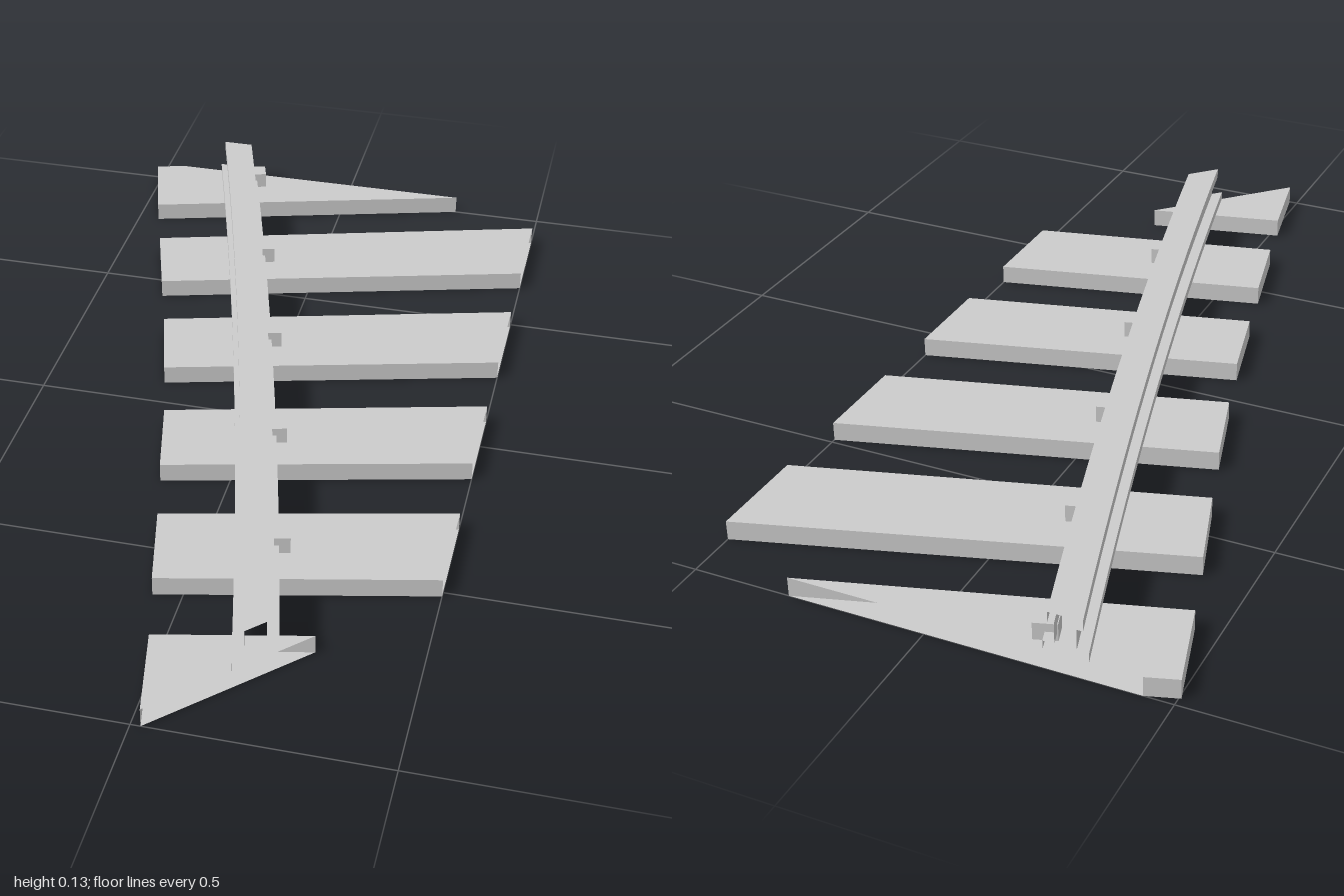
import * as THREE from 'three';

const material = new THREE.MeshStandardMaterial({
  color: 0xcccccc, flatShading: true, side: THREE.DoubleSide,
});

// gently curving centre line of the rail
const centreX = (z) => -0.006 + 0.262 * z - 0.022 * z * z;
const slope = (z) => 0.262 - 0.044 * z;

function meshFrom(positions, name) {
  const geometry = new THREE.BufferGeometry();
  geometry.setAttribute('position', new THREE.Float32BufferAttribute(positions.flat(), 3));
  geometry.computeVertexNormals();
  const mesh = new THREE.Mesh(geometry, material);
  mesh.name = name;
  return mesh;
}

// plank from a ground outline [x, z]; the sawn edge (index "open") has no wall
function sleeper(outline, open, name) {
  const h = 0.042, n = outline.length, tris = [];
  const at = (i, y) => [outline[i % n][0], y, outline[i % n][1]];
  for (let i = 1; i < n - 1; i++) {
    tris.push(at(0, h), at(i + 1, h), at(i, h));
    tris.push(at(0, 0), at(i, 0), at(i + 1, 0));
  }
  for (let i = 0; i < n; i++) {
    if (i === open) continue;
    tris.push(at(i, 0), at(i, h), at(i + 1, h), at(i, 0), at(i + 1, h), at(i + 1, 0));
  }
  return meshFrom(tris, name);
}

// I-section swept along the centre line, cut square at the back and diagonally in front
function rail() {
  const half = [[-0.046, 0.042], [-0.046, 0.061], [-0.022, 0.061],
    [-0.022, 0.106], [-0.035, 0.106], [-0.035, 0.128]];
  const profile = [...half, ...half.map(([u, y]) => [-u, y]).reverse()];
  const rows = 16, tris = [];
  const frontZ = (u) => {
    let z = 0.8;
    for (let k = 0; k < 20; k++) z = 1.02 - u - centreX(z);
    return z;
  };
  const at = (row, [u, y]) => {
    const z = -1 + (row / rows) * (frontZ(u) + 1);
    return [centreX(z) + u, y, z];
  };
  for (let r = 0; r < rows; r++) {
    for (let i = 0; i < profile.length - 1; i++) {
      const a = at(r, profile[i]), b = at(r, profile[i + 1]);
      const c = at(r + 1, profile[i + 1]), d = at(r + 1, profile[i]);
      tris.push(a, d, c, a, c, b);
    }
  }
  return meshFrom(tris, 'rail');
}

export function createModel() {
  const group = new THREE.Group();
  group.name = 'trackSection';

  // sleepers, back to front
  const sleepers = [
    [[[-0.505, -0.98], [-0.44, -1], [0.29, -1], [-0.45, -0.785]], 1],
    [[[-0.4, -0.625], [0.5, -0.89], [0.5, -0.668], [-0.34, -0.43]], 1],
    [[[-0.29, -0.27], [0.5, -0.49], [0.5, -0.272], [-0.235, -0.075]], 1],
    [[[-0.19, 0.085], [0.5, -0.095], [0.5, 0.12], [-0.145, 0.28]], 1],
    [[[-0.105, 0.44], [0.5, 0.295], [0.5, 0.512], [-0.06, 0.64]], 1],
    [[[-0.02, 0.8], [0.29, 0.73], [0.02, 1]], 1],
  ];
  sleepers.forEach(([outline, open], i) => group.add(sleeper(outline, open, `sleeper${i + 1}`)));

  group.add(rail());

  // clips holding the rail foot on its left side
  [0.485, 0.125, -0.235, -0.595, -0.955].forEach((z, i) => {
    const clip = new THREE.Mesh(new THREE.BoxGeometry(0.048, 0.042, 0.042), material);
    clip.position.set(centreX(z) + 0.045, 0.058, z);
    clip.rotation.y = Math.atan(slope(z));
    clip.name = `clip${i + 1}`;
    group.add(clip);
  });

  return group;
}
